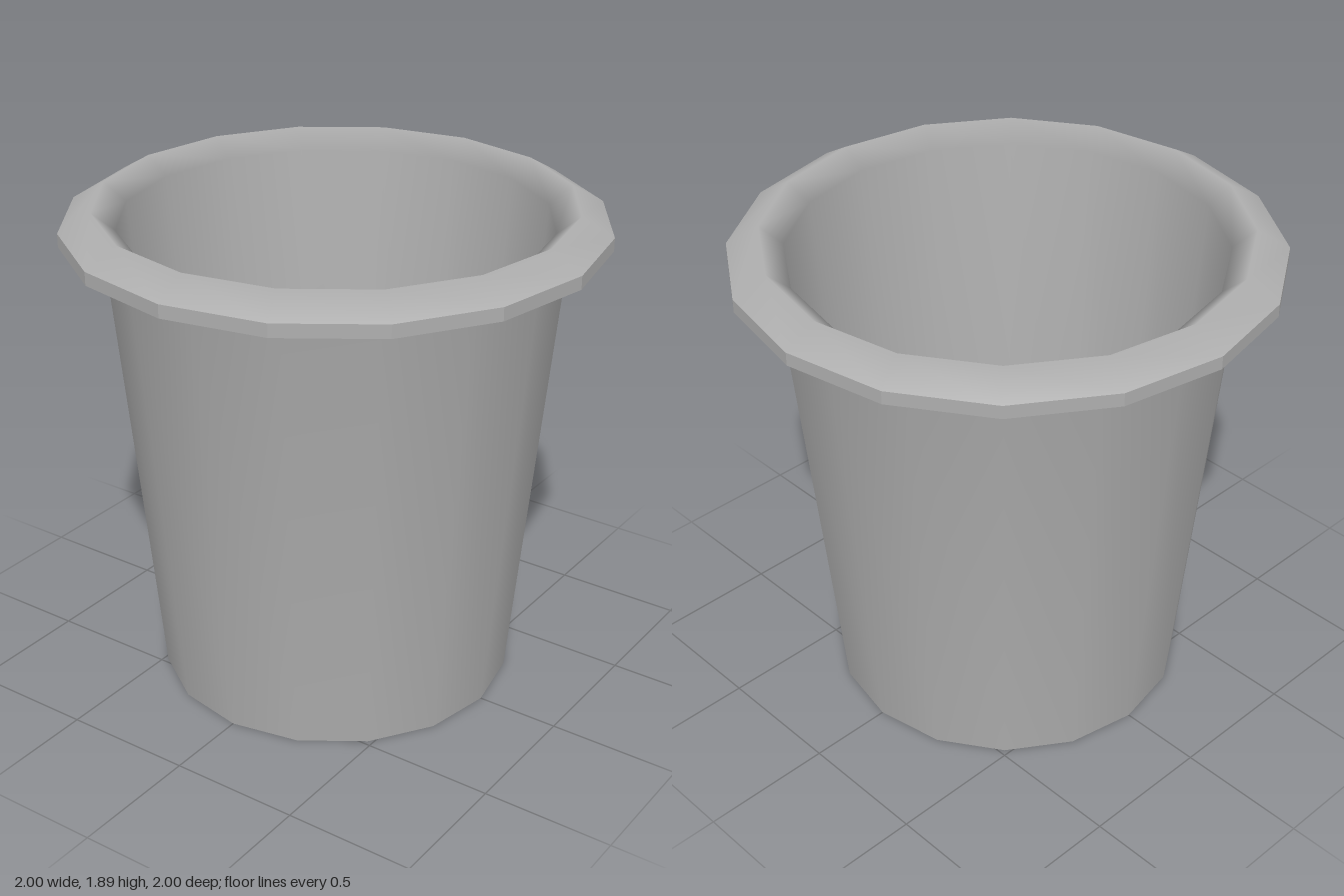
import * as THREE from 'three';

const SIDES = 16;
const GREY = 0xaeaeae;

export function createModel() {
  const cup = new THREE.Group();
  cup.name = 'cup';
  const smooth = new THREE.MeshStandardMaterial({ color: GREY });
  const flat = new THREE.MeshStandardMaterial({ color: GREY, flatShading: true });

  // Revolves one smooth run of the profile; separate runs keep hard edges between them
  function ring(name, profile, material = smooth) {
    const points = profile.map(([r, y]) => new THREE.Vector2(r, y));
    const mesh = new THREE.Mesh(new THREE.LatheGeometry(points, SIDES), material);
    mesh.name = name;
    cup.add(mesh);
  }

  // Flat disc, facing up or down
  function disc(name, radius, y, up) {
    const mesh = new THREE.Mesh(new THREE.CircleGeometry(radius, SIDES), smooth);
    mesh.rotation.x = up ? -Math.PI / 2 : Math.PI / 2;
    mesh.position.y = y;
    mesh.name = name;
    cup.add(mesh);
  }

  // Tapered body, blending softly into the underside of the rim
  disc('base', 0.68, 0, false);
  ring('outerWallAndRimUnderside', [[0.68, 0], [0.845, 1.77], [1, 1.77]]);

  // Overhanging rim, rounded over into the hollow
  ring('rimEdge', [[1, 1.77], [1, 1.82]], flat);
  ring('rimTopAndInnerWall', [[1, 1.82], [0.88, 1.89], [0.795, 1.82], [0.665, 0.06]]);

  // Inside floor
  disc('floor', 0.665, 0.06, true);

  return cup;
}
